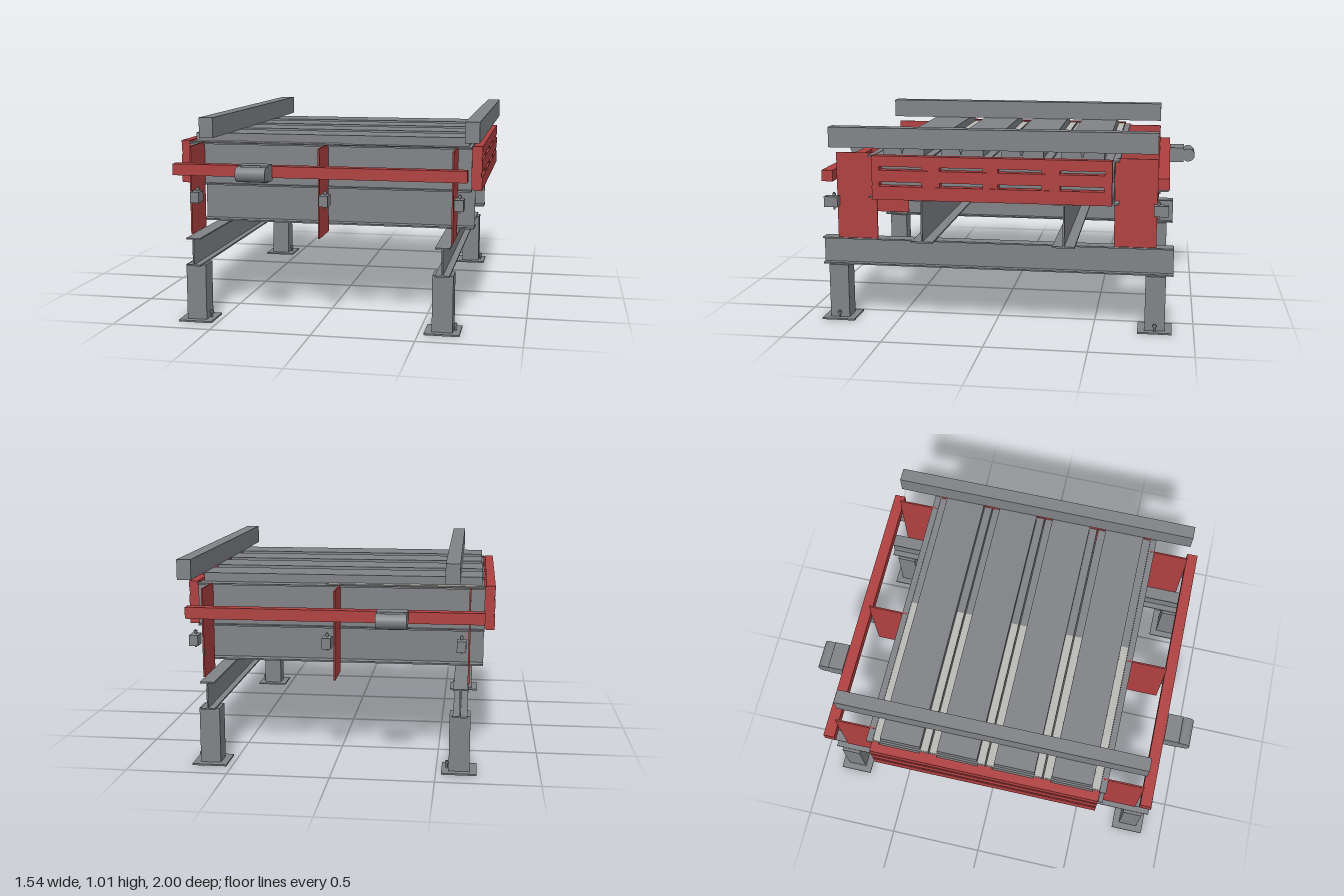
import * as THREE from 'three';

const mat = (name, color) => {
  const m = new THREE.MeshStandardMaterial({ color });
  m.name = name;
  return m;
};

export function createModel() {
  const root = new THREE.Group();
  root.name = 'conveyorFrame';
  const grey = mat('steelGrey', 0x808286);
  const red = mat('guardRed', 0xb04040);
  const light = mat('wearStripLight', 0xb9b9b5);

  const add = (name, geo, m) => {
    const mesh = new THREE.Mesh(geo, m);
    mesh.name = name;
    root.add(mesh);
    return mesh;
  };
  // Box given by its two opposite corners
  const box = (name, m, x0, x1, y0, y1, z0, z1) => {
    const g = new THREE.BoxGeometry(Math.abs(x1 - x0), y1 - y0, Math.abs(z1 - z0));
    add(name, g, m).position.set((x0 + x1) / 2, (y0 + y1) / 2, (z0 + z1) / 2);
  };
  // Upright bolt with a hexagonal head
  const bolt = (name, x, y0, y1, z, headY) => {
    add(name, new THREE.CylinderGeometry(0.005, 0.005, y1 - y0, 12), grey).position.set(x, (y0 + y1) / 2, z);
    add(name + 'Head', new THREE.CylinderGeometry(0.01, 0.01, 0.01, 6), grey).position.set(x, headY, z);
  };
  // I-section of given flange width and height, extruded along z from its base
  const iBeam = (w, h, t, length) => {
    const a = w / 2, b = t / 2;
    const pts = [[-a, 0], [a, 0], [a, t], [b, t], [b, h - t], [a, h - t], [a, h],
      [-a, h], [-a, h - t], [-b, h - t], [-b, t], [-a, t]];
    const shape = new THREE.Shape(pts.map(([x, y]) => new THREE.Vector2(x, y)));
    const g = new THREE.ExtrudeGeometry(shape, { depth: length, bevelEnabled: false });
    return g.translate(0, 0, -length / 2);
  };

  // Legs, base plates and floor beams
  for (const sx of [-1, 1]) {
    const x = sx * 0.612;
    for (const sz of [-1, 1]) {
      const z = sz * 0.807;
      box('basePlate', grey, x - 0.085, x + 0.085, 0, 0.008, z - 0.085, z + 0.085);
      box('leg', grey, x - 0.05, x + 0.05, 0.008, 0.285, z - 0.05, z + 0.05);
      bolt('anchorBolt', x + 0.06, 0.008, 0.045, z, 0.036);
    }
    add('lowerBeam', iBeam(0.07, 0.14, 0.007, 1.784), grey).position.set(x, 0.285, 0);
  }

  // Cross beams under the deck
  for (const z of [-0.355, 0.355]) {
    const beam = add('crossBeam', iBeam(0.11, 0.222, 0.008, 1.44), grey);
    beam.rotation.y = Math.PI / 2;
    beam.position.set(0, 0.427, z);
  }

  // Four deck modules with raised slats
  for (let i = 0; i < 4; i++) {
    const z = -0.444 + i * 0.296;
    box('deckModule', grey, -0.715, 0.715, 0.652, 0.866, z - 0.145, z + 0.145);
    box('deckSlat', grey, -0.705, 0.70, 0.866, 0.91, z - 0.104, z + 0.104);
    for (const s of [-1, 1]) {
      box('wearStrip', light, -0.71, 0.07, 0.866, 0.870, z + s * 0.106, z + s * 0.143);
    }
    bolt('beamBolt', 0.73, 0.882, 0.91, z, 0.903);
  }

  // Side channels, hanging plates, side rails, clamps and drives, front and back
  for (const s of [-1, 1]) {
    box('channelWeb', grey, -0.72, 0.72, 0.65, 0.867, s * 0.59, s * 0.598);
    for (const y of [0.65, 0.859]) {
      box('channelFlange', grey, -0.72, 0.72, y, y + 0.008, s * 0.598, s * 0.622);
    }
    for (const x of [-0.648, 0, 0.648]) {
      box('hangerPlate', red, x - 0.004, x + 0.004, 0.428, 0.868, s * 0.598, s * 0.805);
    }
    box('longRail', red, -0.72, 0.72, 0.73, 0.786, s * 0.805, s * 0.862);
    for (const x of [-0.612, 0.033, 0.682]) {
      box('clampBlock', grey, x - 0.022, x + 0.022, 0.595, 0.648, s * 0.79, s * 0.86);
      bolt('clampBolt', x, 0.58, 0.668, s * 0.812, 0.658);
    }
    box('driveBlock', grey, -0.36, -0.215, 0.717, 0.798, s * 0.862, s * 0.94);
    const roller = add('driveRoller', new THREE.CylinderGeometry(0.036, 0.036, 0.145, 32), grey);
    roller.rotation.z = Math.PI / 2;
    roller.position.set(-0.2875, 0.758, s * 0.964);
  }

  // Slotted guards at both deck ends
  for (const s of [-1, 1]) {
    for (const [y0, y1] of [[0.655, 0.722], [0.744, 0.802], [0.82, 0.873]]) {
      box('guardRail', red, s * 0.725, s * 0.77, y0, y1, -0.59, 0.59);
    }
    for (const [z, w] of [[-0.572, 0.036], [-0.295, 0.09], [0, 0.075], [0.295, 0.09], [0.572, 0.036]]) {
      box('guardSpacer', red, s * 0.716, s * 0.766, 0.66, 0.868, z - w / 2, z + w / 2);
    }
  }

  // Hold-down beams across the top
  box('topBeam', grey, -0.60, -0.53, 0.91, 1.01, -0.805, 0.805);
  box('topBeam', grey, 0.70, 0.77, 0.91, 1.01, -0.805, 0.805);

  return root;
}
